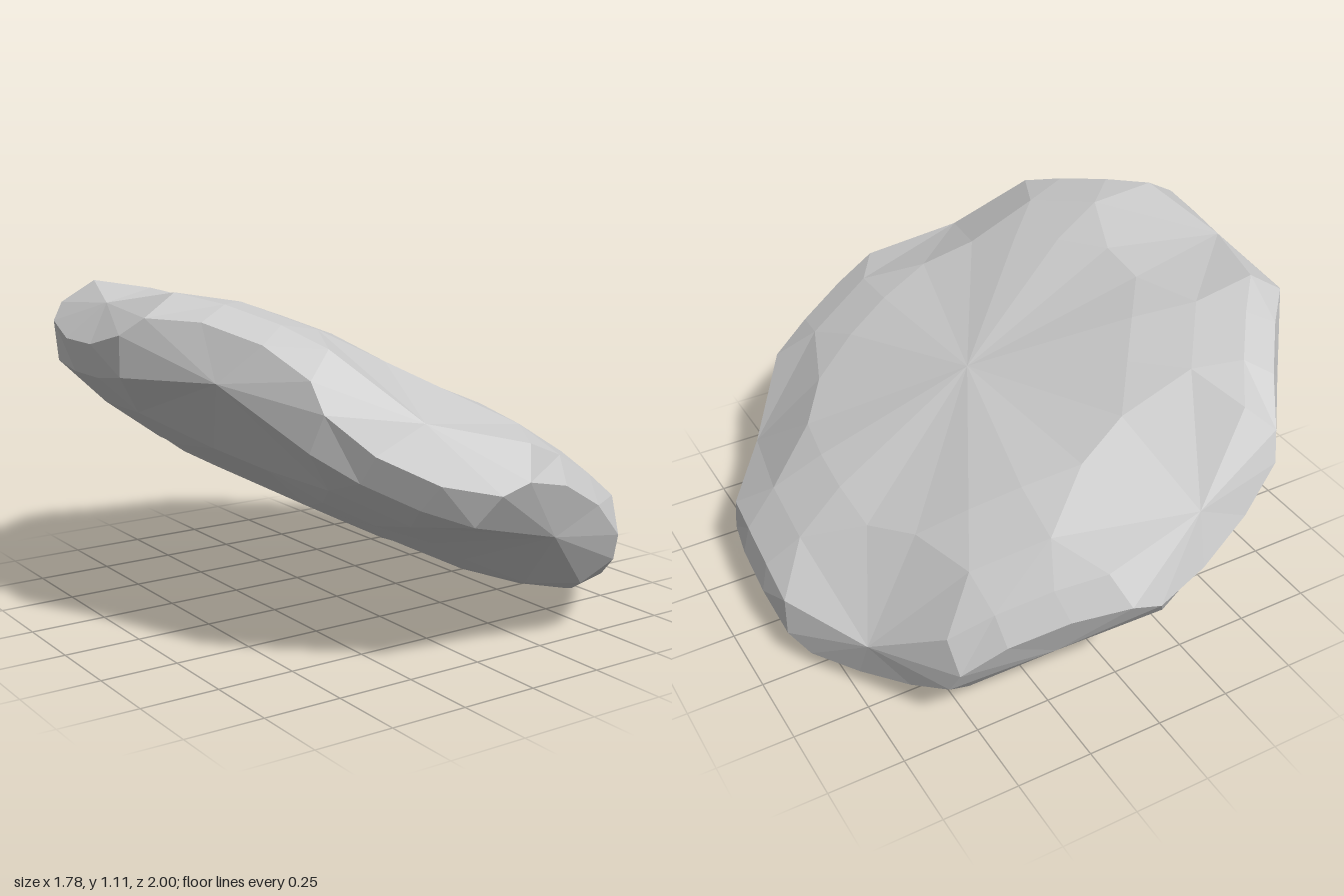
import * as THREE from 'three';

// Faceted flat pebble: five lobes alternate with five star-shaped hollows on
// each side; the underside is the point reflection of the upper side.
export function createModel() {
  const positions = [];

  // Point on the pebble: azimuth in degrees, radius, height off the mid plane
  const at = (azimuth, radius, height) => {
    const t = THREE.MathUtils.degToRad(azimuth);
    return [radius * Math.cos(t), height, radius * Math.sin(t)];
  };

  // Every triangle is added on top and reflected through the centre below
  const tri = (a, b, c) => {
    positions.push(...a, ...c, ...b);
    for (const p of [a, b, c]) positions.push(-p[0], -p[1], -p[2]);
  };
  const quad = (a, b, c, d) => { tri(a, b, c); tri(a, c, d); };

  const pole = [0, 0.25, 0];

  for (let k = 0; k < 5; k++) {
    const hollow = 41 + 72 * k;
    const lobe = hollow + 36;

    // Rows of one lobe, from the wavy rim up to the top face
    const rim = [[-16, 1, 0.035], [-6, 0.968, 0.08], [6, 0.968, 0.08], [16, 1, 0.035]]
      .map(([d, r, h]) => at(lobe + d, r, h));
    const ridge = [[-16, 0.935, 0.142], [-6, 0.9, 0.16], [6, 0.9, 0.16], [16, 0.935, 0.142]]
      .map(([d, r, h]) => at(lobe + d, r, h));
    const mid = [at(lobe - 10, 0.76, 0.205), at(lobe + 10, 0.76, 0.205)];
    const top = [at(lobe - 9, 0.56, 0.237), at(lobe + 9, 0.56, 0.237)];
    const previousTop = at(hollow - 27, 0.56, 0.237);
    const hollowTop = [at(hollow - 9, 0.61, 0.215), at(hollow + 9, 0.61, 0.215)];

    // Lobe surface
    for (let i = 0; i < 3; i++) quad(ridge[i], rim[i], rim[i + 1], ridge[i + 1]);
    tri(mid[0], ridge[0], ridge[1]);
    quad(mid[0], ridge[1], ridge[2], mid[1]);
    tri(mid[1], ridge[2], ridge[3]);
    quad(top[0], mid[0], mid[1], top[1]);

    // Hollow: a fan around its sunken centre
    const loop = [
      [-20, 1, 0.035], [-16, 1, -0.035], [-6, 0.968, -0.08],
      [6, 0.968, -0.08], [16, 1, -0.035], [20, 1, 0.035],
      [20, 0.935, 0.142], [26, 0.76, 0.205], [9, 0.61, 0.215],
      [-9, 0.61, 0.215], [-26, 0.76, 0.205], [-20, 0.935, 0.142],
    ].map(([d, r, h]) => at(hollow + d, r, h));
    const centre = at(hollow, 0.93, 0.062);
    loop.forEach((p, i) => tri(centre, p, loop[(i + 1) % loop.length]));

    // Joins between the hollow and the lobes beside it
    tri(hollowTop[1], loop[7], top[0]);
    tri(hollowTop[0], previousTop, loop[10]);

    // Shallow fan on the top face
    const arc = [previousTop, ...hollowTop, ...top];
    for (let i = 0; i < 4; i++) tri(pole, arc[i], arc[i + 1]);
  }

  const geometry = new THREE.BufferGeometry();
  geometry.setAttribute('position', new THREE.Float32BufferAttribute(positions, 3));
  geometry.computeVertexNormals();

  const pebble = new THREE.Mesh(geometry,
    new THREE.MeshStandardMaterial({ color: 0xcccccc, flatShading: true }));
  pebble.name = 'pebble';
  pebble.rotation.z = -0.498;
  pebble.position.y = 0.55;

  const group = new THREE.Group();
  group.name = 'flatRock';
  group.add(pebble);
  return group;
}
